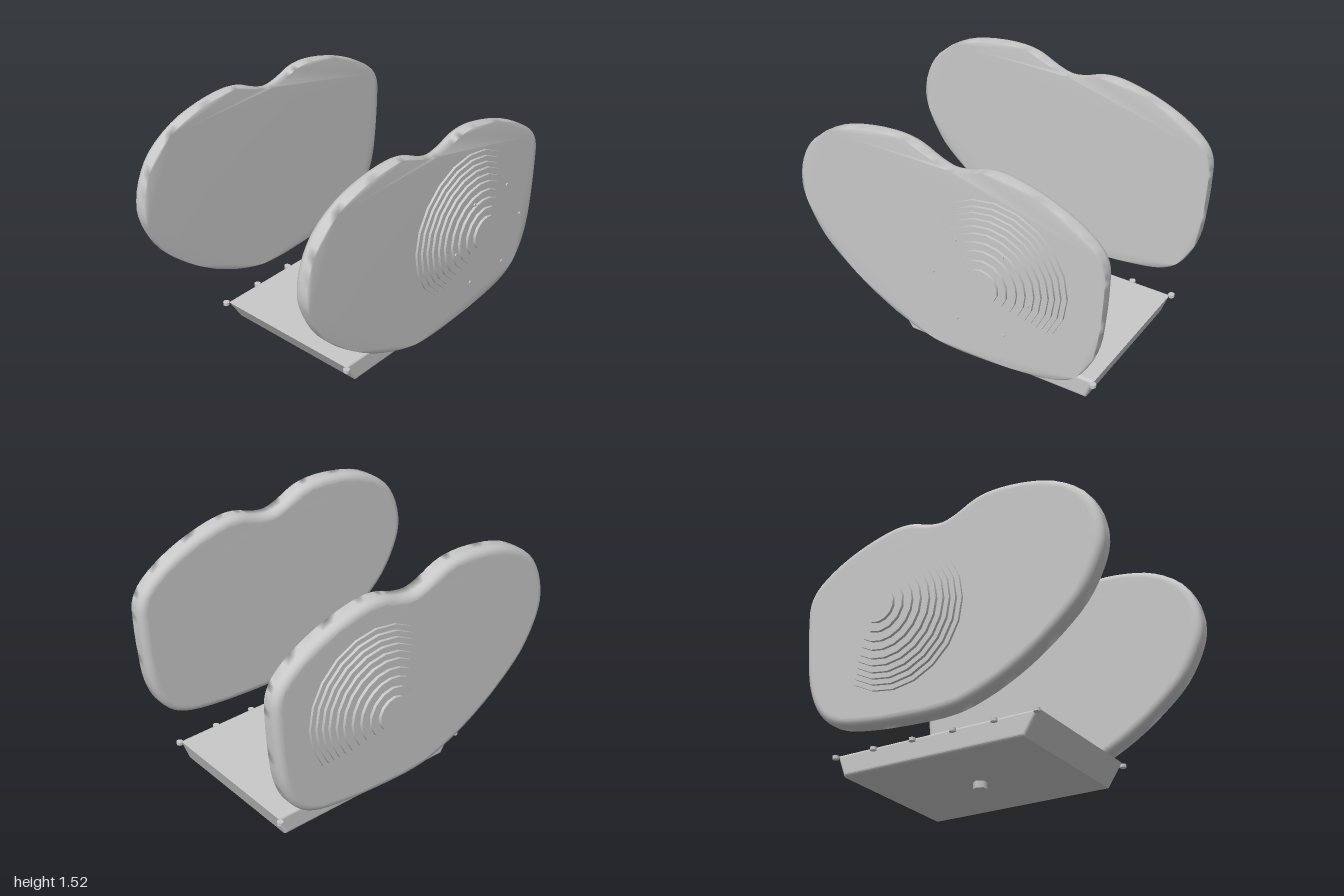
import * as THREE from 'three';

const grey = new THREE.MeshStandardMaterial({ color: 0xc8c8c8 });
grey.name = 'grey';

function part(group, name, geometry, x = 0, y = 0, z = 0) {
  const mesh = new THREE.Mesh(geometry, grey);
  mesh.name = name;
  mesh.position.set(x, y, z);
  group.add(mesh);
  return mesh;
}

// Cover outline, counter-clockwise
const outline = [
  [-1, 1], [-0.96, 0.85], [-0.86, 0.68], [-0.7, 0.53], [-0.5, 0.39], [-0.3, 0.29], [-0.1, 0.225],
  [0.05, 0.21], [0.25, 0.215], [0.5, 0.235], [0.7, 0.27], [0.81, 0.32], [0.9, 0.42], [0.96, 0.57],
  [0.985, 0.75], [1, 1], [0.995, 1.12], [0.95, 1.21], [0.83, 1.31], [0.65, 1.4], [0.45, 1.46],
  [0.33, 1.475], [0.24, 1.465], [0.14, 1.43], [0.04, 1.415], [-0.05, 1.44], [-0.18, 1.5],
  [-0.3, 1.52], [-0.5, 1.505], [-0.7, 1.45], [-0.88, 1.33], [-0.97, 1.18],
];

// Kidney-shaped slab: sharp edge at +z, rounded edge at -z
function coverGeometry() {
  const curve = new THREE.CatmullRomCurve3(outline.map(([x, y]) => new THREE.Vector3(x, y, 0)), true);
  const n = 96, r = 0.045, half = 0.049;
  const rows = [[0, half], [0, r - half]];
  for (let k = 1; k <= 5; k++) {
    const a = (k / 5) * Math.PI / 2;
    rows.push([r * (1 - Math.cos(a)), r - half - r * Math.sin(a)]);
  }
  const positions = [], index = [];
  for (const [inset, z] of rows) {
    for (let i = 0; i < n; i++) {
      const p = curve.getPoint(i / n), t = curve.getTangent(i / n);
      positions.push(p.x - t.y * inset, p.y + t.x * inset, z);
    }
  }
  for (let j = 0; j < rows.length - 1; j++) {
    for (let i = 0; i < n; i++) {
      const a = j * n + i, b = j * n + (i + 1) % n;
      index.push(a, a + n, b, b, a + n, b + n);
    }
  }
  const contour = [];
  for (let i = 0; i < n; i++) {
    const p = curve.getPoint(i / n);
    contour.push(new THREE.Vector2(p.x, p.y));
  }
  const last = (rows.length - 1) * n;
  for (const [a, b, c] of THREE.ShapeUtils.triangulateShape(contour, [])) {
    index.push(a, b, c, last + a, last + c, last + b);
  }
  const geometry = new THREE.BufferGeometry();
  geometry.setAttribute('position', new THREE.Float32BufferAttribute(positions, 3));
  geometry.setIndex(index);
  geometry.computeVertexNormals();
  return geometry;
}

// Stack of thin discs forming the bulge on a cover
function steppedBulge(name, side, base, tip) {
  const bulge = new THREE.Group();
  bulge.name = name;
  const radii = [0.455, 0.425, 0.395, 0.365, 0.33, 0.295, 0.25, 0.205, 0.155, 0.105];
  const step = (tip - base) / radii.length;
  radii.forEach((r, i) => {
    const disc = new THREE.CylinderGeometry(r, r, step, r > 0.2 ? 20 : 14);
    disc.rotateX(Math.PI / 2);
    part(bulge, 'step', disc, 0.33, 0.86, side * (base + (i + 0.5) * step));
  });
  return bulge;
}

export function createModel() {
  const model = new THREE.Group();
  model.name = 'engineCovers';

  // Side covers and their bulges
  const cover = coverGeometry();
  part(model, 'frontCover', cover, 0, 0, 0.632);
  part(model, 'backCover', cover, 0, 0, -0.624);
  model.add(steppedBulge('frontBulge', 1, 0.68, 0.832));
  model.add(steppedBulge('backBulge', -1, 0.67, 0.85));

  // Ring of small bolts in front of the front bulge
  const smallBolt = new THREE.CylinderGeometry(0.01, 0.01, 0.008, 8);
  smallBolt.rotateX(Math.PI / 2);
  for (let i = 0; i < 6; i++) {
    const a = i * Math.PI / 3;
    part(model, 'coverBolt', smallBolt, 0.33 + 0.3 * Math.cos(a), 0.86 + 0.3 * Math.sin(a), 0.848);
  }

  // Pan with sloped ends and softened edges
  const profile = new THREE.Shape([
    [-0.4, 0.04], [0.81, 0.045], [0.86, 0.183], [-0.49, 0.183],
  ].map(([x, y]) => new THREE.Vector2(x, y)));
  const bevel = 0.02;
  const pan = new THREE.ExtrudeGeometry(profile, {
    depth: 0.975 - 2 * bevel, bevelThickness: bevel, bevelSize: bevel, bevelOffset: -bevel, bevelSegments: 4,
  });
  part(model, 'pan', pan, 0, 0, -0.4825 + bevel);

  // Rim bolts along both long sides
  const rimBolt = new THREE.CylinderGeometry(0.02, 0.02, 0.02, 10);
  for (const z of [-0.497, 0.497]) {
    for (let i = 0; i < 6; i++) part(model, 'rimBolt', rimBolt, -0.49 + 0.27 * i, 0.166, z);
  }

  // Drain plug
  part(model, 'drainPlug', new THREE.CylinderGeometry(0.042, 0.042, 0.045, 6), 0.19, 0.0225, 0.005);
  return model;
}
